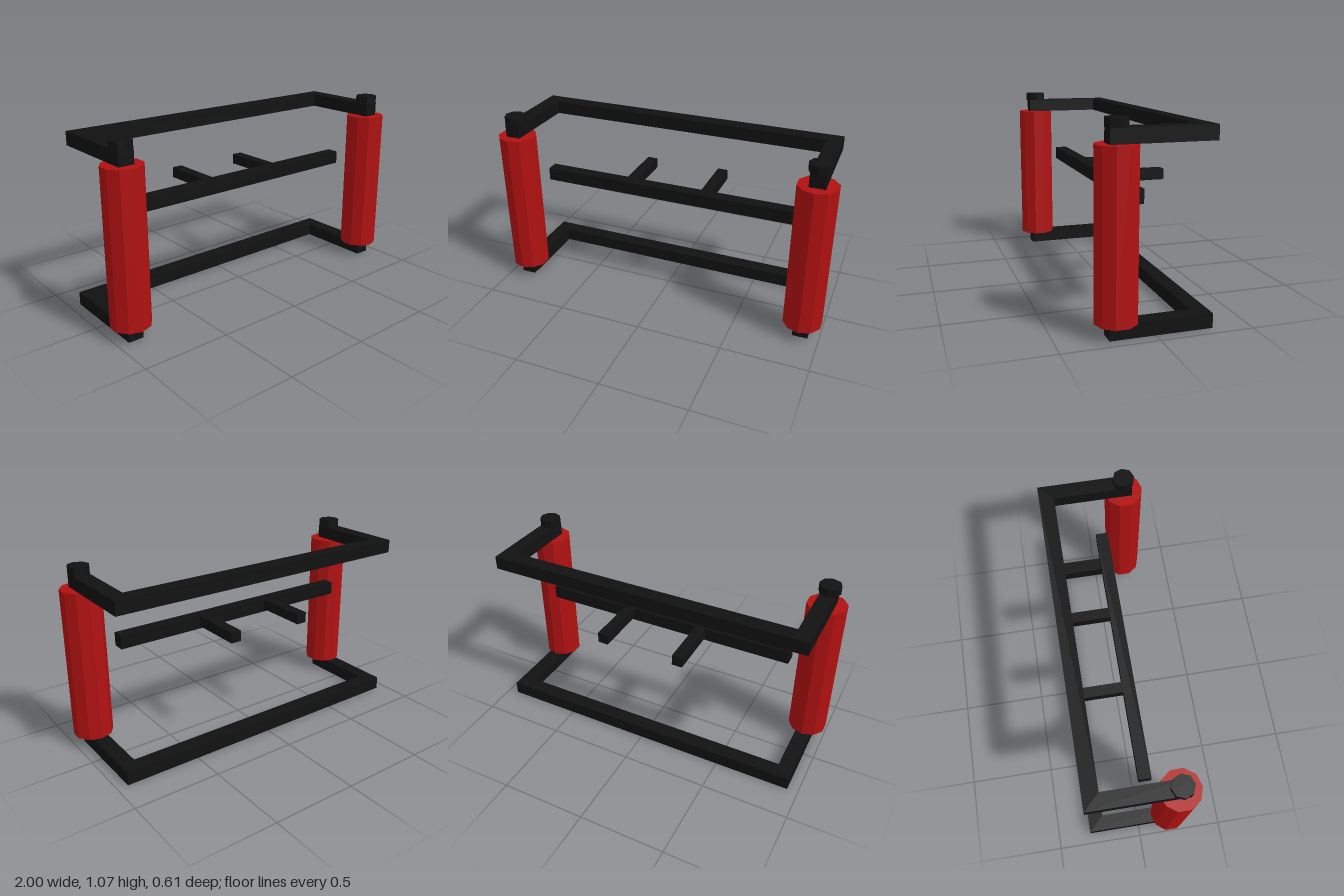
import * as THREE from 'three';

export function createModel() {
  const group = new THREE.Group();
  const black = new THREE.MeshStandardMaterial({ name: 'black frame', color: 0x111111, flatShading: true });
  const red = new THREE.MeshStandardMaterial({ name: 'red padding', color: 0xb01111, flatShading: true });

  const add = (name, geometry, material, x, y, z) => {
    const mesh = new THREE.Mesh(geometry, material);
    mesh.name = name;
    mesh.position.set(x, y, z);
    group.add(mesh);
  };

  // U-shaped frames, open to the front: outline in x and -z, extruded upwards
  const outer = 0.938, inner = 0.85, back = 0.305, backInner = 0.217, front = -0.24;
  const outline = new THREE.Shape([
    [-outer, front], [-inner, front], [-inner, backInner], [inner, backInner],
    [inner, front], [outer, front], [outer, back], [-outer, back],
  ].map(([x, y]) => new THREE.Vector2(x, y)));
  const frame = new THREE.ExtrudeGeometry(outline, { depth: 0.078, bevelEnabled: false });
  frame.rotateX(-Math.PI / 2);
  add('bottomFrame', frame, black, 0, 0, 0);
  add('topFrame', frame, black, 0, 0.948, 0);

  // Middle crossbar
  add('middleBar', new THREE.BoxGeometry(1.54, 0.077, 0.072), black, 0, 0.6615, 0.043);

  for (const side of [-1, 1]) {
    const name = side > 0 ? 'left' : 'right';
    // Ten-sided padded posts with small caps on the frame above
    add(name + 'Post', new THREE.CylinderGeometry(0.112, 0.112, 0.87, 10), red, side * 0.893, 0.513, 0.194);
    add(name + 'Cap', new THREE.CylinderGeometry(0.062, 0.062, 0.047, 8), black, side * 0.894, 1.0485, 0.194);
    // Short supports behind the crossbar
    add(name + 'Support', new THREE.BoxGeometry(0.062, 0.062, 0.315), black, side * 0.235, 0.669, -0.1475);
  }
  return group;
}
